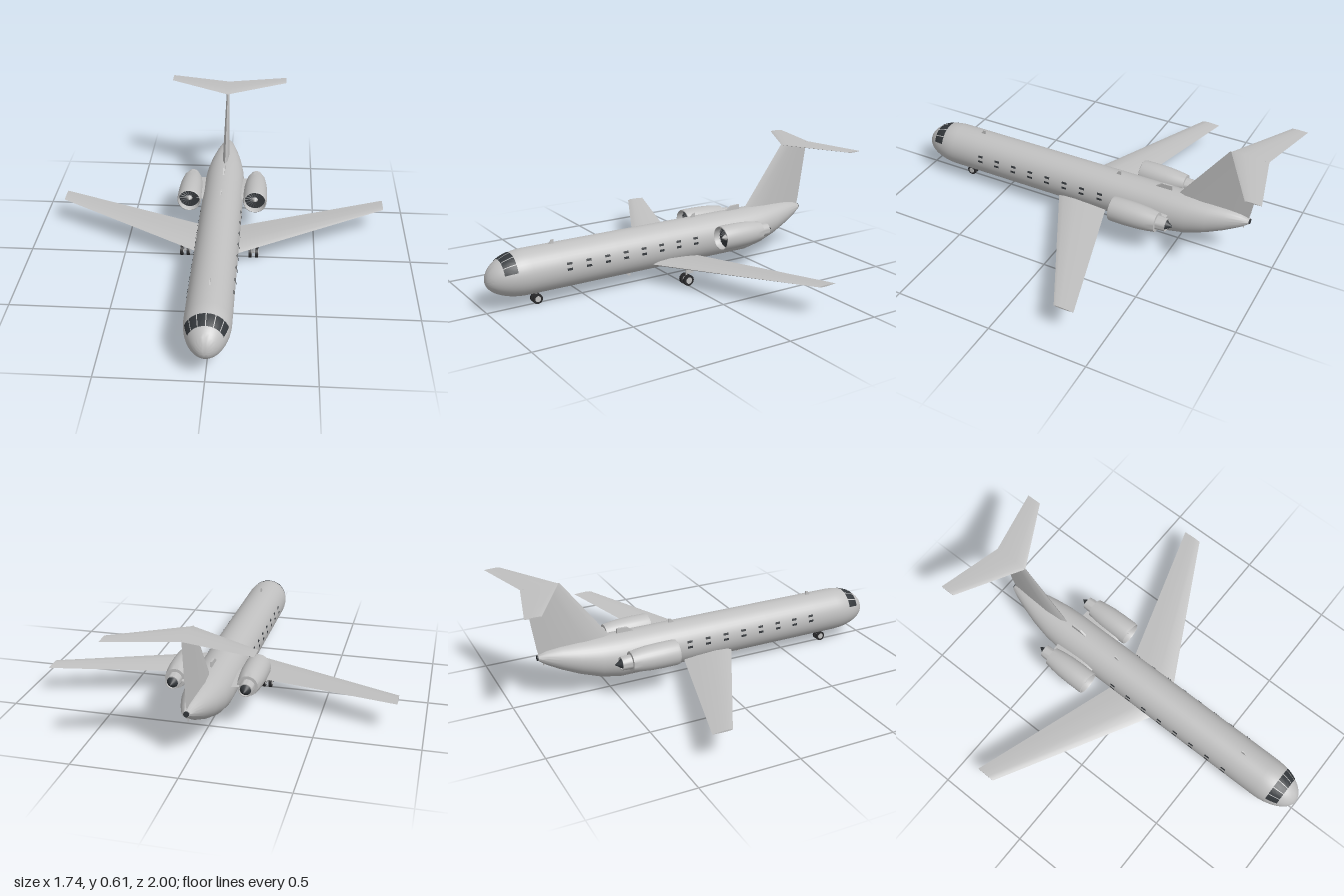
import * as THREE from 'three';
import { toCreasedNormals } from 'three/addons/utils/BufferGeometryUtils.js';

const mat = (name, color, side = THREE.FrontSide) => {
  const m = new THREE.MeshStandardMaterial({ color, side });
  m.name = name;
  return m;
};

// Skin over rows of points [x, y, z]; closed rings get flat end caps
function loft(rows, closed = true) {
  const n = rows[0].length, pos = rows.flat(2), idx = [];
  for (let i = 0; i < rows.length - 1; i++) {
    for (let j = 0; j < (closed ? n : n - 1); j++) {
      const k = (j + 1) % n, a = i * n + j, b = i * n + k;
      idx.push(a, b, b + n, a, b + n, a + n);
    }
  }
  if (closed) {
    const last = (rows.length - 1) * n;
    for (let j = 1; j < n - 1; j++) idx.push(0, j + 1, j, last, last + j, last + j + 1);
  }
  const g = new THREE.BufferGeometry();
  g.setAttribute('position', new THREE.Float32BufferAttribute(pos, 3));
  g.setIndex(idx);
  return toCreasedNormals(g, 0.7);
}

// Aerofoil outline as [chord fraction from the leading edge, half thickness factor]
const FOIL = [[1, 0], [0.7, 0.6], [0.35, 1], [0.1, 0.7], [0, 0], [0.1, -0.7], [0.35, -1], [0.7, -0.6]];

// Horizontal surface section: x, y, leading z, trailing z, half thickness
const flatFoil = (x, y, lead, trail, t) =>
  FOIL.map(([f, h]) => [x, y + h * t, lead + (trail - lead) * f]);

// Fuselage section at z: centre height and half width and height
const TAIL = [[-0.46, 0.172, 0.11, 0.113], [-0.56, 0.182, 0.103, 0.103], [-0.66, 0.199, 0.085, 0.084],
  [-0.75, 0.217, 0.06, 0.061], [-0.82, 0.231, 0.036, 0.036], [-0.86, 0.238, 0.018, 0.014]];
function hullAt(z) {
  if (z > 0.8) {
    const k = Math.sqrt(Math.max(0, 1 - ((z - 0.8) / 0.2) ** 2));
    return [0.172 - 0.018 * (1 - k), 0.11 * k, 0.113 * k];
  }
  for (let i = 0; i < TAIL.length - 1; i++) {
    const a = TAIL[i], b = TAIL[i + 1];
    if (z <= a[0] && z >= b[0] - 1e-6) {
      const t = (z - a[0]) / (b[0] - a[0]);
      return [1, 2, 3].map((k) => a[k] + (b[k] - a[k]) * t);
    }
  }
  return [0.172, 0.11, 0.113];
}
function hullPoint(z, angle, lift = 0) {
  const [y, rx, ry] = hullAt(z);
  return [Math.cos(angle) * (rx + lift), y + Math.sin(angle) * (ry + lift), z];
}

// Thin patch lying just above the fuselage skin
function hullPatch(z0, z1, a0, a1, lift = 0.002) {
  const rows = [];
  for (let i = 0; i <= 4; i++) {
    const row = [];
    for (let j = 0; j <= 4; j++) row.push(hullPoint(z0 + (z1 - z0) * i / 4, a0 + (a1 - a0) * j / 4, lift));
    rows.push(row);
  }
  return loft(rows, false);
}

// Thin upright plate from a [z, y] outline
function plate(points, thick) {
  const shape = new THREE.Shape(points.map(([z, y]) => new THREE.Vector2(z, y)));
  const g = new THREE.ExtrudeGeometry(shape, { depth: thick, bevelEnabled: false });
  return g.translate(0, 0, -thick / 2).rotateY(-Math.PI / 2);
}

export function createModel() {
  const grey = mat('light grey skin', 0xc0c0c0);
  const dark = mat('dark glass', 0x34383c, THREE.DoubleSide);
  const rubber = mat('black rubber', 0x2a2a2c);
  const blade = mat('fan grey', 0x55585c, THREE.DoubleSide);

  const model = new THREE.Group();
  model.name = 'airliner';
  const add = (name, geo, material, parent = model) => {
    const m = new THREE.Mesh(geo, material);
    m.name = name;
    parent.add(m);
    return m;
  };

  // Fuselage
  const stations = TAIL.map((s) => s[0]).reverse();
  for (let i = 0; i <= 8; i++) stations.push(-0.4 + 0.15 * i);
  for (let i = 1; i <= 14; i++) stations.push(0.8 + 0.1999 * Math.sin(i / 14 * Math.PI / 2));
  const hullRings = stations.map((z) =>
    Array.from({ length: 40 }, (_, j) => hullPoint(z, j / 40 * Math.PI * 2)));
  add('fuselage', loft(hullRings), grey);
  add('tailExhaust', new THREE.CylinderGeometry(0.013, 0.013, 0.012, 16)
    .rotateX(Math.PI / 2).translate(0, 0.238, -0.859), dark);

  // Windscreen panes
  const deg = Math.PI / 180;
  for (let i = 0; i < 6; i++) {
    const a = 18 + i * 24;
    add('windscreenPane', hullPatch(0.872, 0.932, (a + 1.3) * deg, (a + 22.7) * deg), dark);
  }

  // Two rows of cabin windows on both sides
  for (let i = 0; i < 8; i++) {
    const z = 0.615 - i * 0.1025;
    for (const y of [0.207, 0.18]) {
      const a = Math.asin((y - 0.172) / 0.113), h = 0.05;
      add('cabinWindow', hullPatch(z - 0.014, z + 0.014, a - h, a + h, 0.003), dark);
      add('cabinWindow', hullPatch(z - 0.014, z + 0.014, Math.PI - a - h, Math.PI - a + h, 0.003), dark);
    }
  }

  // Tail fin
  const finSection = (y, lead, trail, t) =>
    [4, 3, 2, 1, 0, 7, 6, 5].map((k) => [FOIL[k][1] * t, y, lead + (trail - lead) * FOIL[k][0]]);
  add('tailFin', loft([
    finSection(0.24, -0.46, -0.853, 0.02),
    finSection(0.285, -0.493, -0.863, 0.018),
    finSection(0.602, -0.73, -0.91, 0.008),
  ]), grey);

  // Tailplane
  add('tailplane', loft([
    flatFoil(-0.33, 0.598, -0.922, -1, 0.003),
    flatFoil(0, 0.6, -0.735, -0.92, 0.007),
    flatFoil(0.33, 0.598, -0.922, -1, 0.003),
  ]), grey);

  for (const s of [1, -1]) {
    const side = s > 0 ? 'left' : 'right';

    // Wing, ordered from -x to +x
    const wing = [
      flatFoil(s * 0.04, 0.103, 0.17, -0.112, 0.018),
      flatFoil(s * 0.11, 0.108, 0.133, -0.134, 0.017),
      flatFoil(s * 0.87, 0.152, -0.27, -0.37, 0.004),
    ];
    add(side + 'Wing', loft(s > 0 ? wing : wing.reverse()), grey);

    // Engine
    const engine = new THREE.Group();
    engine.name = side + 'Engine';
    engine.position.set(s * 0.177, 0.207, 0);
    model.add(engine);
    const profile = [[0.024, -0.47], [0.029, -0.505], [0.033, -0.505], [0.036, -0.456], [0.05, -0.455],
      [0.057, -0.41], [0.062, -0.36], [0.064, -0.3], [0.064, -0.225], [0.062, -0.212], [0.059, -0.21],
      [0.056, -0.216], [0.054, -0.25]];
    add('nacelle', toCreasedNormals(new THREE.LatheGeometry(
      profile.map(([r, z]) => new THREE.Vector2(r, z)), 32).rotateX(Math.PI / 2), 0.6), grey, engine);
    add('fanDisc', new THREE.CircleGeometry(0.056, 32).translate(0, 0, -0.244), dark, engine);
    for (let i = 0; i < 18; i++) {
      add('fanBlade', new THREE.PlaneGeometry(0.036, 0.005).rotateX(0.6).translate(0.034, 0, -0.239)
        .rotateZ(i / 18 * Math.PI * 2), blade, engine);
    }
    add('spinner', new THREE.ConeGeometry(0.016, 0.025, 20).rotateX(Math.PI / 2)
      .translate(0, 0, -0.229), grey, engine);
    add('exhaustCone', new THREE.ConeGeometry(0.027, 0.04, 20).rotateX(-Math.PI / 2)
      .translate(0, 0, -0.517), dark, engine);

    // Pylon joining engine and fuselage
    const pylon = [flatFoil(s * 0.07, 0.205, -0.24, -0.48, 0.012), flatFoil(s * 0.14, 0.207, -0.24, -0.475, 0.012)];
    add(side + 'Pylon', loft(s > 0 ? pylon : pylon.reverse()), grey);
  }

  // Landing gear: a wheel pair on an axle and leg
  function gear(name, x, z, r, gap, width, top) {
    const g = new THREE.Group();
    g.name = name;
    g.position.set(x, r, z);
    model.add(g);
    for (const s of [1, -1]) {
      add('tyre', new THREE.CylinderGeometry(r, r, width, 24).rotateZ(Math.PI / 2)
        .translate(s * gap, 0, 0), rubber, g);
      add('hub', new THREE.CylinderGeometry(r * 0.6, r * 0.6, width + 0.003, 20).rotateZ(Math.PI / 2)
        .translate(s * gap, 0, 0), grey, g);
    }
    add('axle', new THREE.CylinderGeometry(0.004, 0.004, gap * 2, 10).rotateZ(Math.PI / 2), grey, g);
    add('leg', new THREE.CylinderGeometry(0.005, 0.005, top - r, 12).translate(0, (top - r) / 2, 0), grey, g);
  }
  gear('noseGear', 0, 0.745, 0.025, 0.013, 0.013, 0.08);
  for (const s of [1, -1]) {
    gear('mainGear', s * 0.18, 0, 0.028, 0.017, 0.015, 0.11);
    add('gearDoor', new THREE.BoxGeometry(0.003, 0.035, 0.04).translate(s * 0.21, 0.088, 0), grey);
  }

  // Aerials and the dorsal scoop
  add('frontAerial', plate([[0.675, 0.28], [0.645, 0.28], [0.645, 0.306], [0.658, 0.304]], 0.006), grey);
  add('middleAerial', plate([[-0.14, 0.28], [-0.17, 0.28], [-0.17, 0.306], [-0.157, 0.304]], 0.006), grey);
  add('dorsalScoop', plate([[-0.36, 0.28], [-0.455, 0.28], [-0.452, 0.31], [-0.4, 0.308]], 0.01), grey);
  add('bellyAerial', plate([[0.26, 0.063], [0.235, 0.038], [0.224, 0.038], [0.224, 0.063]], 0.006), grey);
  add('tailSkid', plate([[-0.815, 0.215], [-0.835, 0.19], [-0.835, 0.225]], 0.006), grey);

  return model;
}
